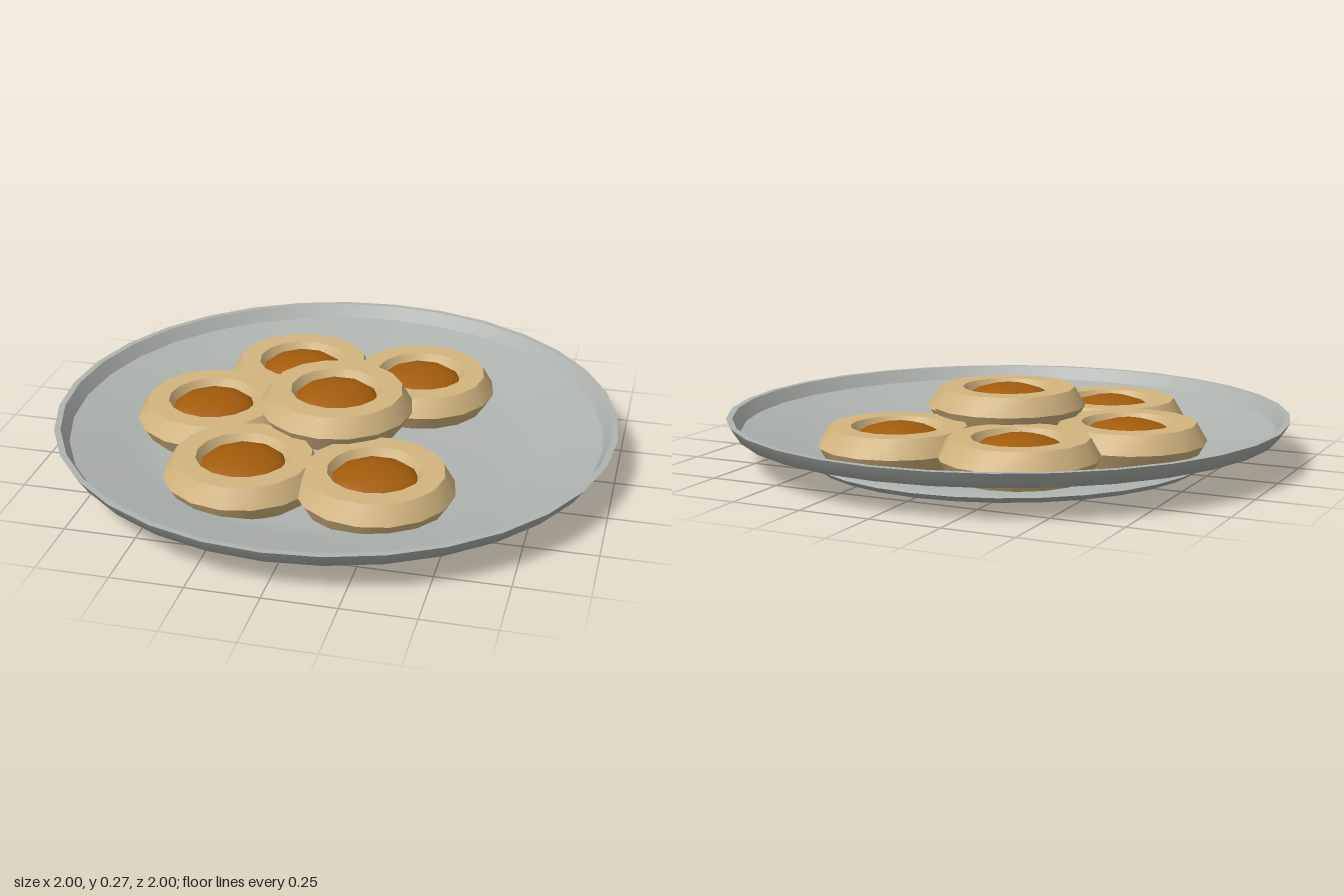
import * as THREE from 'three';
import { toCreasedNormals } from 'three/addons/utils/BufferGeometryUtils.js';

const plateGrey = new THREE.MeshStandardMaterial({ color: 0xb0b4b0 });
const pastry = new THREE.MeshStandardMaterial({ color: 0xd2b47f });
const filling = new THREE.MeshStandardMaterial({ color: 0xa35c0c });
plateGrey.name = 'plate grey';
pastry.name = 'pastry tan';
filling.name = 'filling orange';

// Turned part; profile runs from the bottom centre outward and back over the top
function turned(name, points, material) {
  const profile = points.map(([r, y]) => new THREE.Vector2(r, y));
  const mesh = new THREE.Mesh(new THREE.LatheGeometry(profile, 32), material);
  mesh.name = name;
  return mesh;
}

// Six-sided pastry ring with a low domed filling
const crustGeometry = toCreasedNormals(
  new THREE.TorusGeometry(0.2, 0.075, 6, 16).rotateX(Math.PI / 2), 0.7);
const fillingGeometry = new THREE.SphereGeometry(0.17, 10, 8).scale(1, 0.075 / 0.17, 1);

function tart(name, x, y, z) {
  const group = new THREE.Group();
  group.name = name;
  const crust = new THREE.Mesh(crustGeometry, pastry);
  crust.name = 'crust';
  const centre = new THREE.Mesh(fillingGeometry, filling);
  centre.name = 'filling';
  group.add(crust, centre);
  group.position.set(x, y, z);
  return group;
}

export function createModel() {
  const model = new THREE.Group();
  model.name = 'plateOfTarts';

  // Shallow plate: underside, lip, rim wall and floor, split where edges are sharp
  const plate = new THREE.Group();
  plate.name = 'plate';
  plate.add(
    turned('underside', [[0, 0.036], [0.61, 0.036], [0.74, 0.064], [0.965, 0.112], [1, 0.165]], plateGrey),
    turned('lip', [[1, 0.165], [0.978, 0.165]], plateGrey),
    turned('rimWall', [[0.978, 0.165], [0.95, 0.118]], plateGrey),
    turned('floor', [[0.95, 0.118], [0.74, 0.073], [0.61, 0.045], [0, 0.045]], plateGrey),
  );
  model.add(plate);

  // Foot disc under the plate
  const foot = new THREE.Group();
  foot.name = 'foot';
  foot.add(
    turned('footBottom', [[0, 0], [0.7, 0], [0.728, 0.022]], plateGrey),
    turned('footTop', [[0.728, 0.022], [0.7, 0.03], [0, 0.03]], plateGrey),
  );
  model.add(foot);

  // Five tarts in an open ring, one stacked on top
  for (let i = 1; i <= 5; i++) {
    const a = i * Math.PI / 3;
    model.add(tart('ringTart' + i, 0.46 * Math.cos(a), 0.1, 0.46 * Math.sin(a)));
  }
  model.add(tart('topTart', 0, 0.19, 0));
  return model;
}
